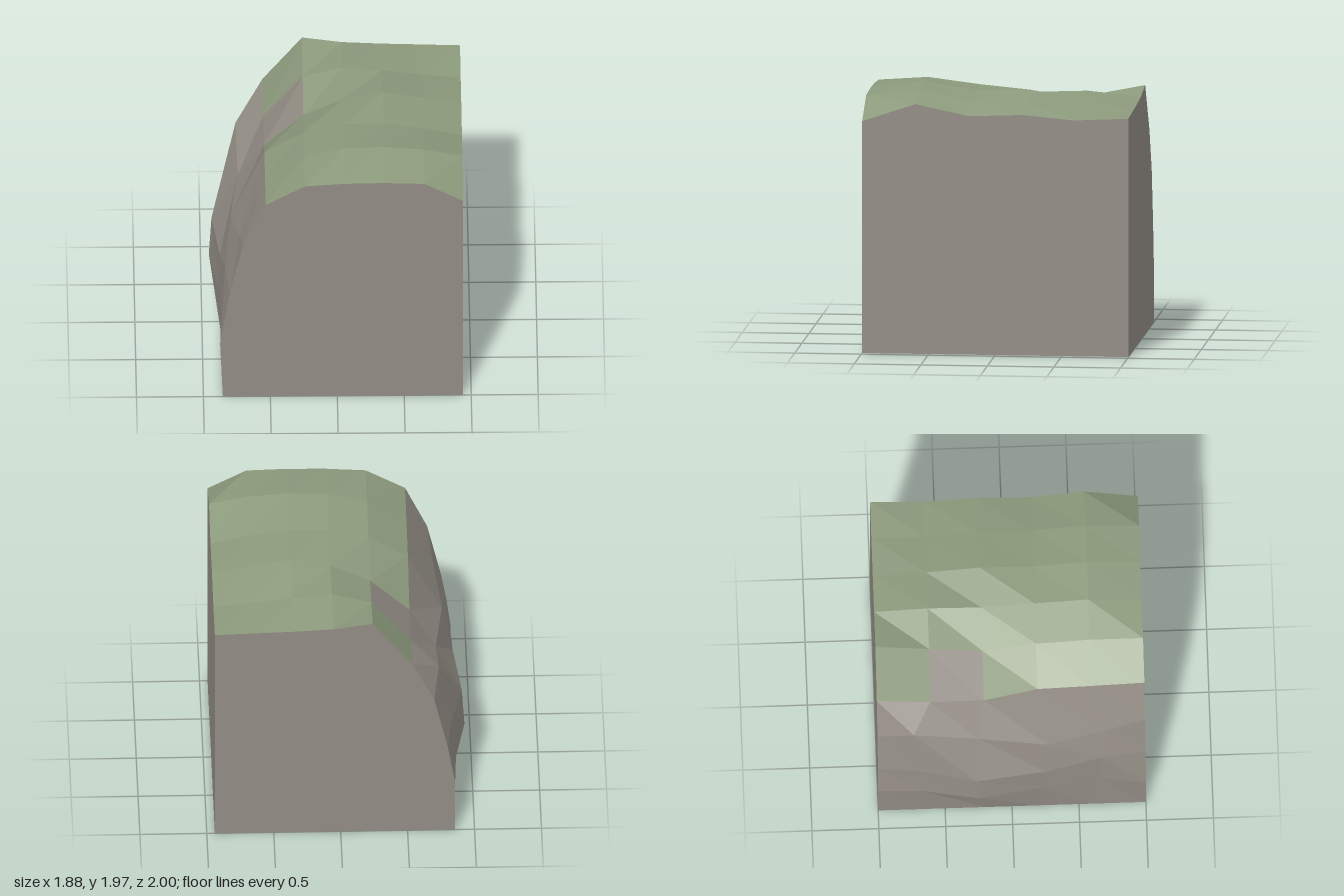
import * as THREE from 'three';

// Sections from front to back. The cliff side has three free points per section;
// the rounded top has one height for each column in topX.
const zs = [1, 0.6, 0.2, -0.2, -0.6, -1];
const topX = [-0.535, -0.24, 0.055, 0.35, 0.65, 0.94];
const cliffPoints = [
  [[-0.875, 0.47, 1], [-0.8, 0.95, 1], [-0.7, 1.375, 1]],
  [[-0.85, 0.54, 0.65], [-0.835, 0.94, 0.67], [-0.73, 1.265, 0.73]],
  [[-0.88, 0.46, 0.22], [-0.87, 0.77, 0.25], [-0.79, 1.14, 0.27]],
  [[-0.945, 0.44, -0.25], [-0.925, 0.755, -0.27], [-0.73, 1.15, -0.25]],
  [[-0.87, 0.44, -0.68], [-0.835, 0.795, -0.73], [-0.74, 1.3, -0.73]],
  [[-0.855, 0.43, -1], [-0.8, 0.755, -1], [-0.7, 1.183, -1]],
];
const topHeights = [
  [1.725, 1.89, 1.91, 1.915, 1.905, 1.75],
  [1.69, 1.89, 1.96, 1.97, 1.945, 1.885],
  [1.66, 1.84, 1.91, 1.91, 1.87, 1.8],
  [1.45, 1.72, 1.86, 1.92, 1.87, 1.815],
  [1.45, 1.8, 1.875, 1.85, 1.81, 1.78],
  [1.51, 1.88, 1.836, 1.82, 1.81, 1.8],
];
const sections = zs.map((z, j) => [
  [-0.855, 0, z],
  ...cliffPoints[j],
  ...topX.map((x, i) => [x, topHeights[j][i], z]),
]);

// Flat-shaded geometry from a list of quads
function quadGeometry(quads) {
  const positions = quads.flatMap(([a, b, c, d]) => [a, b, c, a, c, d].flat());
  const geometry = new THREE.BufferGeometry();
  geometry.setAttribute('position', new THREE.Float32BufferAttribute(positions, 3));
  geometry.computeVertexNormals();
  return geometry;
}

export function createModel() {
  const group = new THREE.Group();
  group.name = 'cliffBlock';
  const rock = new THREE.MeshStandardMaterial({ color: 0x918b83, side: THREE.DoubleSide });
  rock.name = 'rock';
  const grass = new THREE.MeshStandardMaterial({ color: 0x8c9a7c, side: THREE.DoubleSide });
  grass.name = 'grass';

  const add = (name, geometry, material) => {
    const mesh = new THREE.Mesh(geometry, material);
    mesh.name = name;
    group.add(mesh);
    return mesh;
  };

  // Rock face and grassy top: one bare patch reaches up into the grass edge
  const rockQuads = [], grassQuads = [], wallQuads = [];
  for (let j = 0; j < zs.length - 1; j++) {
    const a = sections[j], b = sections[j + 1];
    for (let i = 0; i < a.length - 1; i++) {
      const isRock = i < 4 || (i === 4 && j === 3);
      (isRock ? rockQuads : grassQuads).push([a[i], a[i + 1], b[i + 1], b[i]]);
    }
    // Straight side wall below the last column
    const p = a[a.length - 1], q = b[b.length - 1];
    wallQuads.push([[p[0], 0, p[2]], [q[0], 0, q[2]], q, p]);
  }
  add('cliffFace', quadGeometry(rockQuads), rock);
  add('grassTop', quadGeometry(grassQuads), grass);
  add('sideWall', quadGeometry(wallQuads), rock);

  // Flat end walls following the first and last sections; the underside is open
  for (const [name, section, s] of [['frontWall', sections[0], 1], ['backWall', sections[5], -1]]) {
    const outline = section.map(([x, y]) => new THREE.Vector2(s * x, y));
    outline.push(new THREE.Vector2(s * 0.94, 0));
    const wall = add(name, new THREE.ShapeGeometry(new THREE.Shape(outline)), rock);
    wall.position.z = s;
    if (s < 0) wall.rotation.y = Math.PI;
  }
  return group;
}
